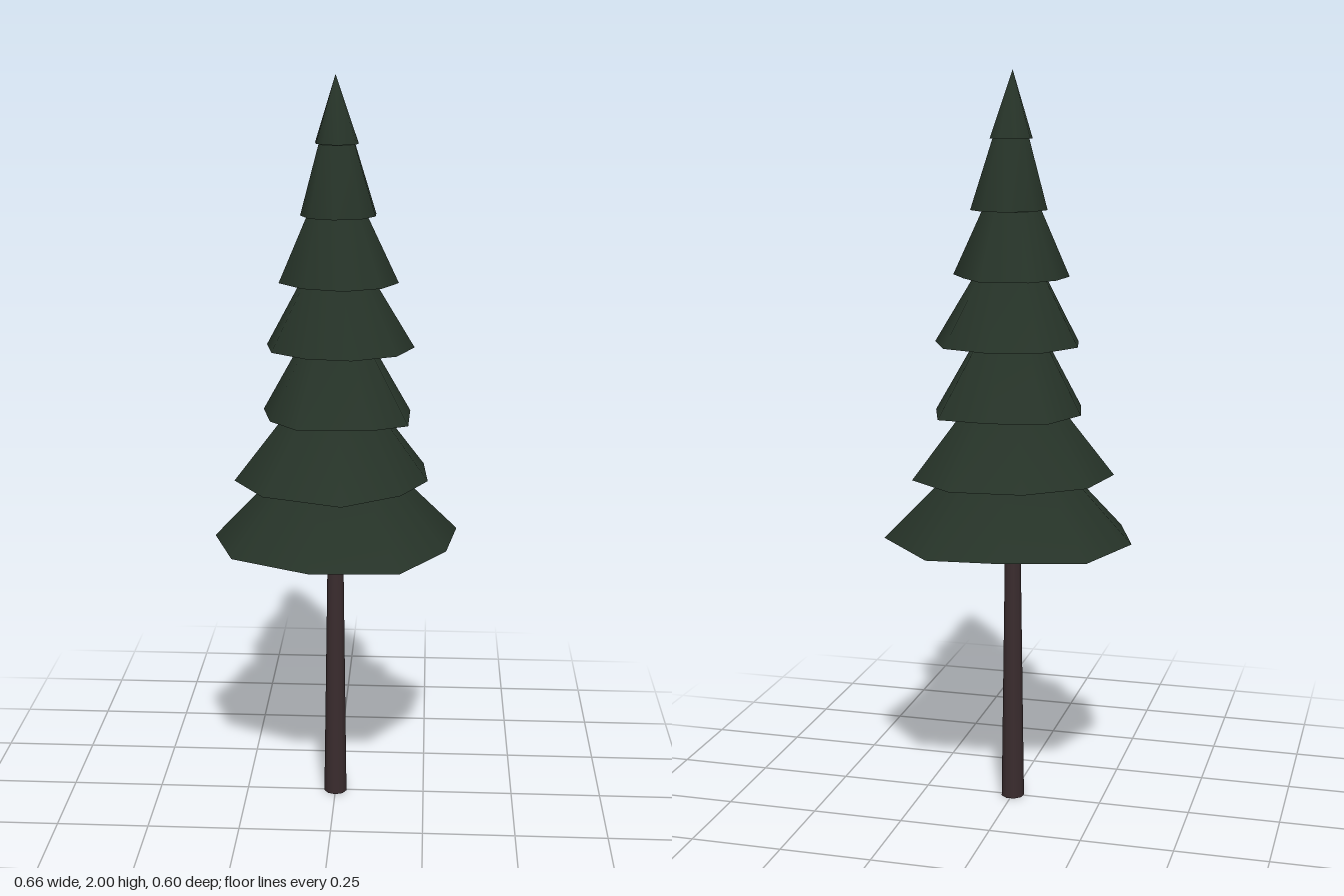
import * as THREE from 'three';

const needles = new THREE.MeshStandardMaterial({ color: 0x263328 });
needles.name = 'dark green needles';
const bark = new THREE.MeshStandardMaterial({ color: 0x3a2c2e });
bark.name = 'dark brown bark';

// Rim corners of each tier as x, z pairs, starting at the back and running clockwise from above
const tiers = [
  { y: 0.755, h: 0.35, rim: [-0.04, -0.285, 0.155, -0.302, 0.332, -0.11, 0.302, 0.097, 0.18, 0.29, -0.055, 0.3, -0.265, 0.192, -0.332, -0.01, -0.255, -0.228] },
  { y: 0.93, h: 0.35, rim: [-0.09, -0.245, 0.103, -0.26, 0.238, -0.15, 0.25, 0.027, 0.18, 0.17, 0.03, 0.28, -0.18, 0.2, -0.27, 0.05, -0.235, -0.13] },
  { y: 1.107, h: 0.36, rim: [-0.138, -0.196, 0.01, -0.218, 0.15, -0.2, 0.2, -0.05, 0.197, 0.125, 0.1, 0.18, -0.088, 0.188, -0.168, 0.095, -0.198, -0.045] },
  { y: 1.287, h: 0.35, rim: [-0.115, -0.17, 0.02, -0.198, 0.148, -0.15, 0.21, -0.02, 0.165, 0.1, 0.05, 0.163, -0.07, 0.145, -0.165, 0.07, -0.187, -0.04] },
  { y: 1.465, h: 0.35, rim: [-0.08, -0.15, 0.05, -0.16, 0.113, -0.08, 0.167, 0.01, 0.125, 0.1, 0.03, 0.15, -0.08, 0.115, -0.148, 0.03, -0.136, -0.075] },
  { y: 1.64, h: 0.35, rim: [-0.01, -0.105, 0.06, -0.09, 0.105, -0.04, 0.105, 0.02, 0.07, 0.08, 0, 0.1, -0.065, 0.075, -0.092, 0.01, -0.072, -0.06] },
  { y: 1.825, h: 0.175, rim: [-0.025, -0.06, 0.02, -0.065, 0.05, -0.045, 0.06, 0, 0.055, 0.03, 0.01, 0.06, -0.03, 0.045, -0.05, 0.015, -0.055, -0.03] },
];

// Smooth fan from a rim to a centre point; flipped for surfaces seen from below
function fan(rim, y, centreY, flip) {
  const positions = [0, centreY, 0];
  const index = [];
  const n = rim.length / 2;
  for (let i = 0; i < n; i++) {
    positions.push(rim[2 * i], y, rim[2 * i + 1]);
    const a = 1 + i;
    const b = 1 + ((i + 1) % n);
    index.push(0, flip ? a : b, flip ? b : a);
  }
  const geometry = new THREE.BufferGeometry();
  geometry.setAttribute('position', new THREE.Float32BufferAttribute(positions, 3));
  geometry.setIndex(index);
  geometry.computeVertexNormals();
  return geometry;
}

function addMesh(parent, geometry, material, name) {
  const mesh = new THREE.Mesh(geometry, material);
  mesh.name = name;
  parent.add(mesh);
  return mesh;
}

export function createModel() {
  const tree = new THREE.Group();
  tree.name = 'pineTree';

  // Tapered trunk reaching up into the lowest tier
  const trunk = addMesh(tree, new THREE.CylinderGeometry(0.02, 0.032, 0.86, 9), bark, 'trunk');
  trunk.position.y = 0.43;

  // Stacked branch tiers, each a ragged cone with a hollowed underside
  tiers.forEach(({ y, h, rim }, i) => {
    const tier = new THREE.Group();
    tier.name = `branchTier${i + 1}`;
    addMesh(tier, fan(rim, y, y + h, false), needles, 'tierTop');
    addMesh(tier, fan(rim, y, y + h * 0.25, true), needles, 'tierUnderside');
    tree.add(tier);
  });

  return tree;
}
